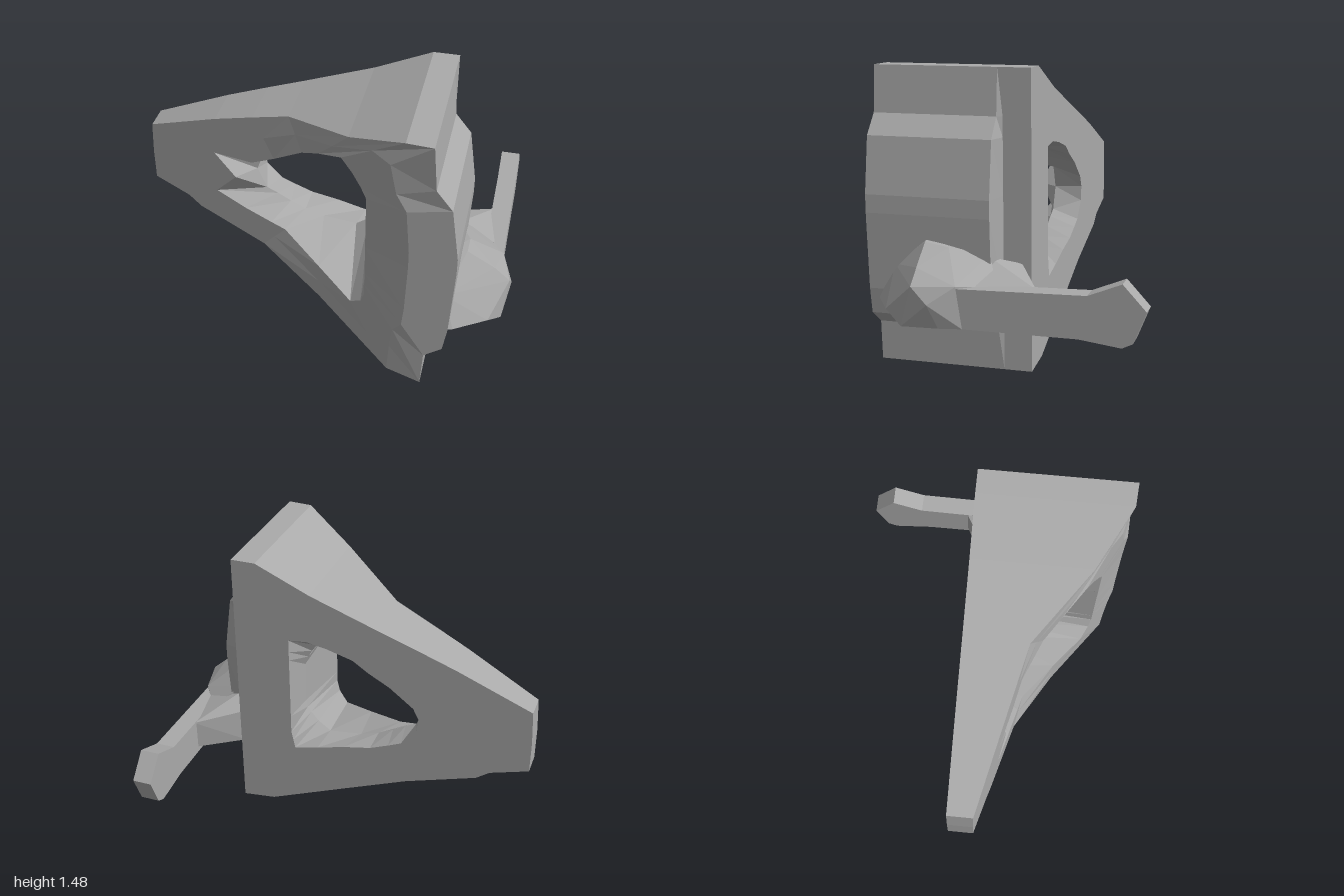
import * as THREE from 'three';
import { ConvexGeometry } from 'three/addons/geometries/ConvexGeometry.js';

// Cross-section loops (x, y), counter-clockwise from the lower right corner
const OUTER = [[.6, 0], [.61, .2], [.7, .27], [.72, .4], [.74, .78], [.74, .87], [.7, 1.15], [.62, 1.25],
  [.6, 1.48], [.47, 1.48], [.18, 1.35], [-.18, 1.22], [-.38, 1.15], [-.6, 1.07], [-.99, .91], [-1, .73],
  [-1, .56], [-.8, .5], [-.73, .45], [-.35, .33], [0, .19], [.42, .02]];
const MOUTH = [[.26, .38], [.28, .44], [.28, .5], [.28, .58], [.28, .75], [.28, .85], [.28, 1.05], [.25, 1.1],
  [.2, 1.16], [.14, 1.21], [0, 1.13], [-.1, 1.06], [-.27, .93], [-.4, .86], [-.62, .85], [-.5, .73],
  [-.62, .6], [-.45, .54], [-.3, .5], [-.22, .48], [0, .4], [.2, .33]];
const THROAT = [[.2, .5], [.24, .55], [.26, .58], [.27, .62], [.27, .75], [.27, .85], [.25, .9], [.23, .94],
  [.2, .98], [.13, 1.01], [0, 1.02], [-.1, 1.01], [-.2, .97], [-.28, .92], [-.37, .85], [-.41, .73],
  [-.36, .61], [-.3, .58], [-.23, .54], [-.15, .5], [-.05, .47], [.13, .45]];
const REAR = [[.28, .4], [.29, .45], [.3, .5], [.3, .6], [.3, .75], [.3, .85], [.3, .95], [.3, 1], [.3, 1.07],
  [.2, 1.08], [.09, 1.06], [-.05, 1.02], [-.14, .96], [-.25, .9], [-.38, .8], [-.41, .74], [-.4, .66],
  [-.32, .57], [-.25, .54], [-.15, .5], [0, .47], [.15, .43]];

// Depth of the sloping front at a given x
const SLOPE = [[-1, .04], [-.18, .24], [.13, .49], [.48, .69], [.75, .7]];
function frontZ(x) {
  for (let i = 1; i < SLOPE.length; i++) {
    const [x0, z0] = SLOPE[i - 1], [x1, z1] = SLOPE[i];
    if (x <= x1) return z0 + (z1 - z0) * (x - x0) / (x1 - x0);
  }
  return .7;
}

// Closed skin over a cyclic list of rings, with flat faces
function skin(rings) {
  const pos = [];
  rings.forEach((ring, k) => {
    const next = rings[(k + 1) % rings.length];
    ring.forEach((a, i) => {
      const j = (i + 1) % ring.length;
      pos.push(...a, ...ring[j], ...next[j], ...a, ...next[j], ...next[i]);
    });
  });
  const g = new THREE.BufferGeometry();
  g.setAttribute('position', new THREE.Float32BufferAttribute(pos, 3));
  g.computeVertexNormals();
  return g;
}

export function createModel() {
  const group = new THREE.Group();
  const grey = new THREE.MeshStandardMaterial({ color: 0xaaaaaa });
  grey.name = 'plain grey';
  const add = (name, geometry) => {
    const mesh = new THREE.Mesh(geometry, grey);
    mesh.name = name;
    group.add(mesh);
    return mesh;
  };

  // Wedge frame: front face, flared opening, back face, recessed rear edge, bulging side
  const onFront = ([x, y]) => [x, y, frontZ(x)];
  const middle = OUTER.map(([x, y], i) => onFront([(x + MOUTH[i][0]) / 2, (y + MOUTH[i][1]) / 2]));
  const clamp = (x) => Math.min(x, .6);
  add('wedgeFrame', skin([
    OUTER.map(onFront),
    middle,
    MOUTH.map(onFront),
    THROAT.map(([x, y]) => [x, y, .06]),
    REAR.map(([x, y]) => [x, y, -.09]),
    OUTER.map(([x, y]) => [clamp(x), y, -.09]),
    OUTER.map(([x, y]) => [clamp(x), y, Math.min(.05, frontZ(x) - .02)]),
    OUTER.map(([x, y]) => [x, y, Math.min(.075, frontZ(x) - .01)]),
  ]));

  // Faceted bracket that carries the arm
  add('armBracket', new ConvexGeometry([
    [.66, .36, .67], [.68, .52, .58], [.68, .67, .4], [.68, .6, .09], [.66, .27, .46], [.66, .32, .1],
    [.76, .66, .39], [.76, .64, .27], [.74, .36, .64], [.9, .57, .38], [.98, .5, .38], [.99, .42, .3],
    [.96, .3, .44], [.9, .36, .54], [.95, .3, .26], [.93, .5, .18], [.93, .3, .15], [.82, .48, .02], [.82, .32, .02],
  ].map((p) => new THREE.Vector3(...p))));

  // Gusset running back from the bracket to the arm
  add('armGusset', new ConvexGeometry([
    [.59, .54, -.04], [.59, .36, -.06], [.66, .58, .1], [.66, .33, .1],
    [.84, .49, -.18], [.84, .33, -.18], [.88, .49, .1], [.88, .33, .1],
  ].map((p) => new THREE.Vector3(...p))));

  // Arm with a swollen, pointed end, drawn as a side profile (-z, y)
  const profile = [[-.26, .3], [.4, .3], [.6, .275], [.65, .3], [.71, .45], [.6, .57], [.44, .505], [-.18, .49]];
  const shape = new THREE.Shape(profile.map((p) => new THREE.Vector2(...p)));
  const arm = new THREE.ExtrudeGeometry(shape, { depth: .1, bevelEnabled: false });
  arm.rotateY(Math.PI / 2);
  arm.translate(.83, 0, 0);
  add('arm', arm);

  return group;
}
